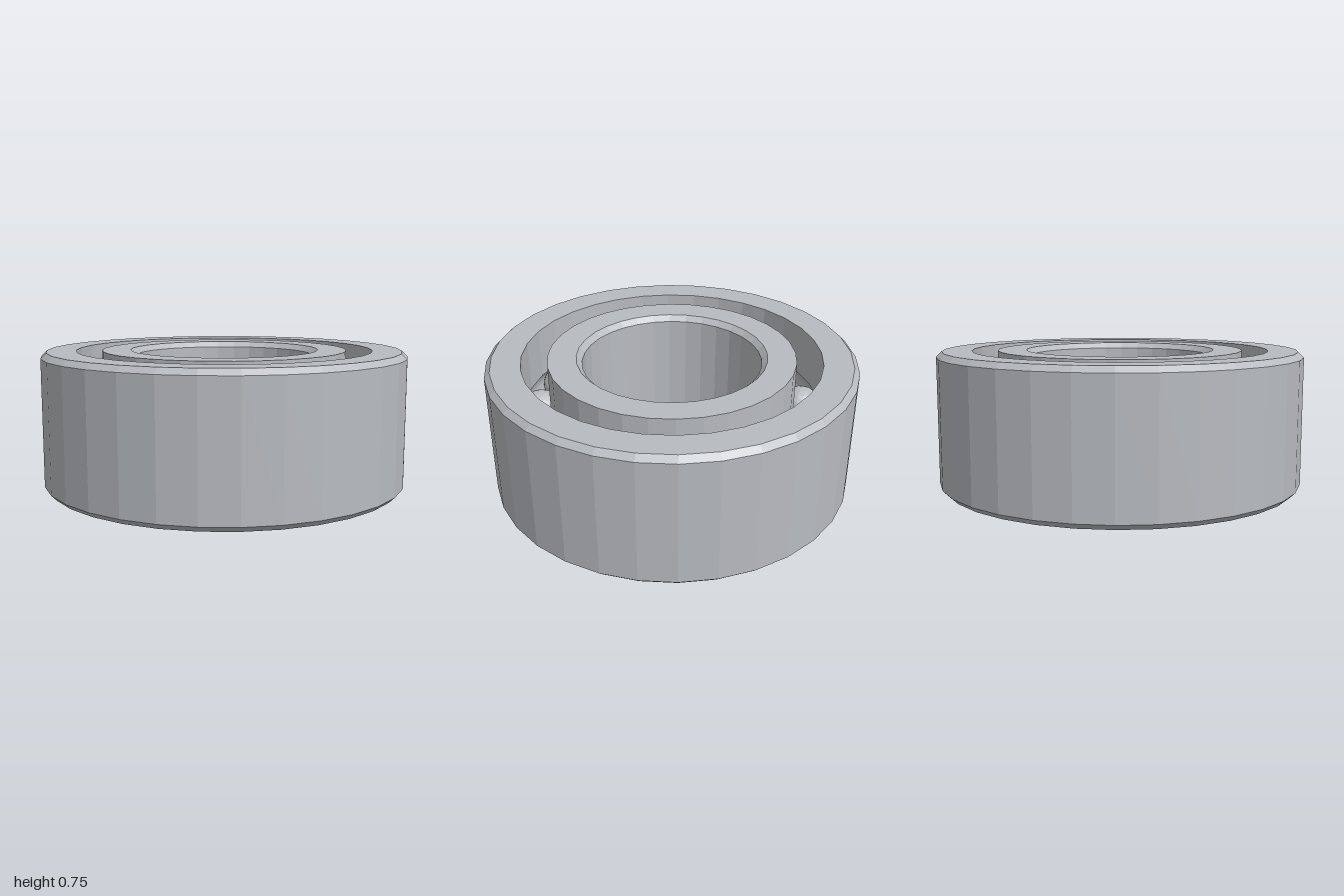
import * as THREE from 'three';

const HEIGHT = 0.75, MID = HEIGHT / 2, BEVEL = 0.03;
const PITCH = 0.74, BALL_R = 0.112, GROOVE_R = 0.115, BALLS = 15, SIDES = 32;
const INNER_LIP = 0.67, OUTER_LIP = 0.81, BORE = 0.485;

// Arc of the ball raceway, as profile points
function groove(from, to, steps = 8) {
  return Array.from({ length: steps + 1 }, (_, i) => {
    const a = from + (to - from) * i / steps;
    return [PITCH + GROOVE_R * Math.cos(a), MID + GROOVE_R * Math.sin(a)];
  });
}

// Closed counter-clockwise profile turned about the y axis
function ring(name, profile, material) {
  const points = [...profile, profile[0]].map(([x, y]) => new THREE.Vector2(x, y));
  const mesh = new THREE.Mesh(new THREE.LatheGeometry(points, SIDES), material);
  mesh.name = name;
  return mesh;
}

export function createModel() {
  const model = new THREE.Group();
  model.name = 'ballBearing';
  const steel = new THREE.MeshStandardMaterial({ color: 0xb8bbc0, flatShading: true });
  steel.name = 'steel';

  const outerHalf = Math.acos((OUTER_LIP - PITCH) / GROOVE_R);
  const innerHalf = Math.acos((PITCH - INNER_LIP) / GROOVE_R);

  // Outer race: bevelled outside, raceway inside
  model.add(ring('outerRace', [
    [OUTER_LIP, 0], [1 - BEVEL, 0], [1, BEVEL], [1, HEIGHT - BEVEL],
    [1 - BEVEL, HEIGHT], [OUTER_LIP, HEIGHT], ...groove(outerHalf, -outerHalf),
  ], steel));

  // Inner race: raceway outside, bevelled bore
  model.add(ring('innerRace', [
    [BORE + BEVEL, 0], [INNER_LIP, 0], ...groove(Math.PI + innerHalf, Math.PI - innerHalf),
    [INNER_LIP, HEIGHT], [BORE + BEVEL, HEIGHT], [BORE, HEIGHT - BEVEL], [BORE, BEVEL],
  ], steel));

  // Balls evenly spaced around the raceway
  const balls = new THREE.Group();
  balls.name = 'balls';
  const ballGeometry = new THREE.IcosahedronGeometry(BALL_R, 3);
  for (let i = 0; i < BALLS; i++) {
    const a = i / BALLS * Math.PI * 2;
    const ball = new THREE.Mesh(ballGeometry, steel);
    ball.name = 'ball';
    ball.position.set(PITCH * Math.cos(a), MID, PITCH * Math.sin(a));
    ball.rotation.y = -a;
    balls.add(ball);
  }
  model.add(balls);
  return model;
}
